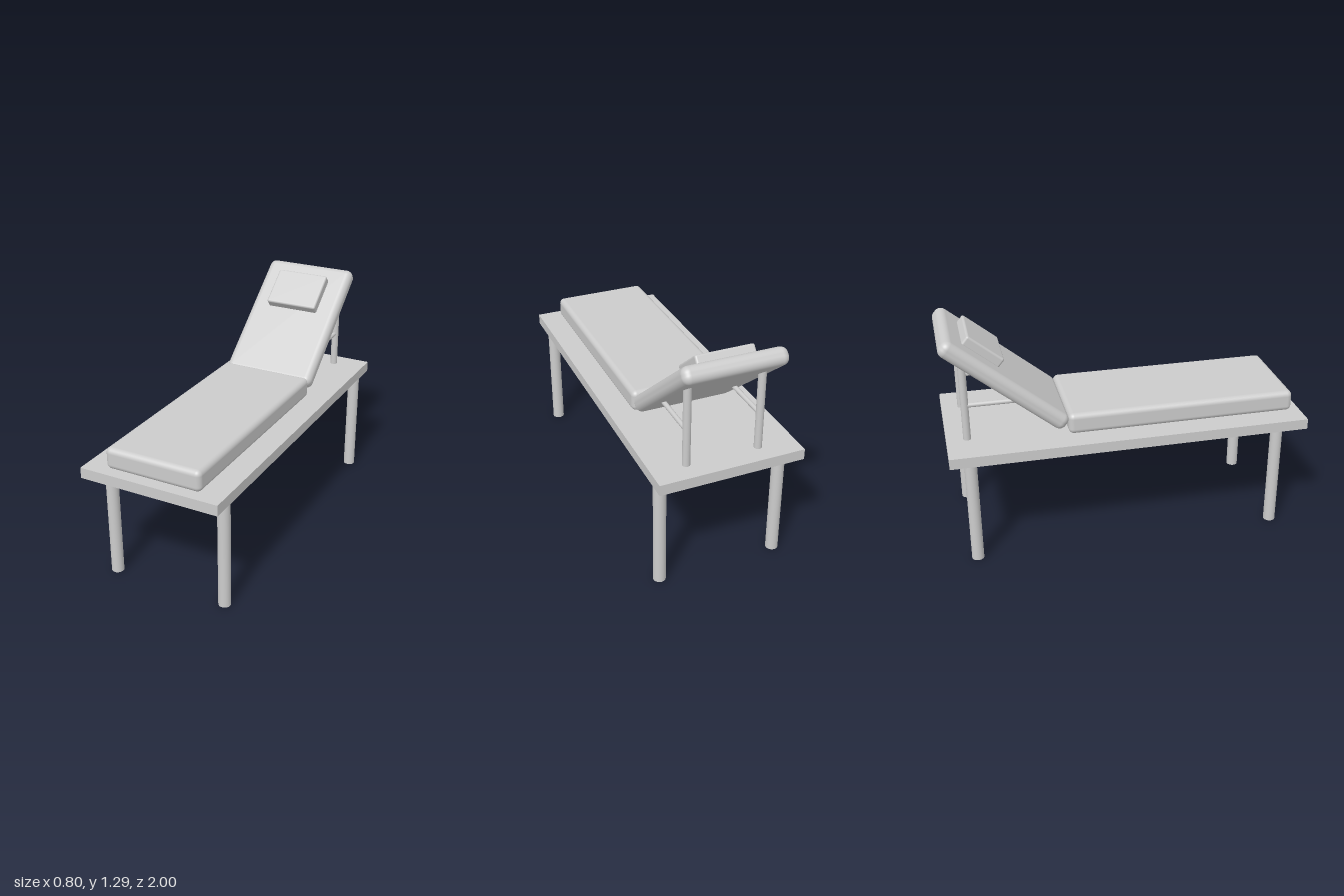
import * as THREE from 'three';
import { RoundedBoxGeometry } from 'three/addons/geometries/RoundedBoxGeometry.js';

export function createModel() {
  const group = new THREE.Group();
  const material = new THREE.MeshStandardMaterial({ color: 0xcccccc });

  const add = (name, geometry, x, y, z, tilt = 0) => {
    const mesh = new THREE.Mesh(geometry, material);
    mesh.name = name;
    mesh.position.set(x, y, z);
    mesh.rotation.x = tilt;
    group.add(mesh);
    return mesh;
  };

  // Flat table top
  add('tableTop', new THREE.BoxGeometry(0.8, 0.06, 2), 0, 0.66, 0);

  // Four round legs
  const legHeight = 0.63;
  const legGeometry = new THREE.CylinderGeometry(0.034, 0.034, legHeight, 32);
  for (const x of [-0.317, 0.352]) {
    for (const z of [0.85, -0.887]) add('leg', legGeometry, x, legHeight / 2, z);
  }

  // Padded mattress lying on the table
  add('mattress', new RoundedBoxGeometry(0.555, 0.12, 1.29, 5, 0.03), -0.002, 0.75, 0.305);

  // Raised backrest pad and its pillow share the same tilt
  const tilt = 0.688;
  add('backrest', new RoundedBoxGeometry(0.558, 0.094, 0.825, 6, 0.04), 0, 1.005, -0.67, tilt);
  add('pillow', new RoundedBoxGeometry(0.32, 0.06, 0.242, 4, 0.012), -0.003, 1.174, -0.767, tilt);

  // Upright posts with forward braces under the backrest
  const postGeometry = new THREE.CylinderGeometry(0.021, 0.021, 0.47, 24);
  const braceGeometry = new THREE.CylinderGeometry(0.013, 0.013, 0.29, 20);
  for (const x of [-0.19, 0.21]) {
    add('backrestPost', postGeometry, x, 0.915, -0.887);
    add('backrestBrace', braceGeometry, x, 0.892, -0.735, Math.PI / 2);
  }

  return group;
}
